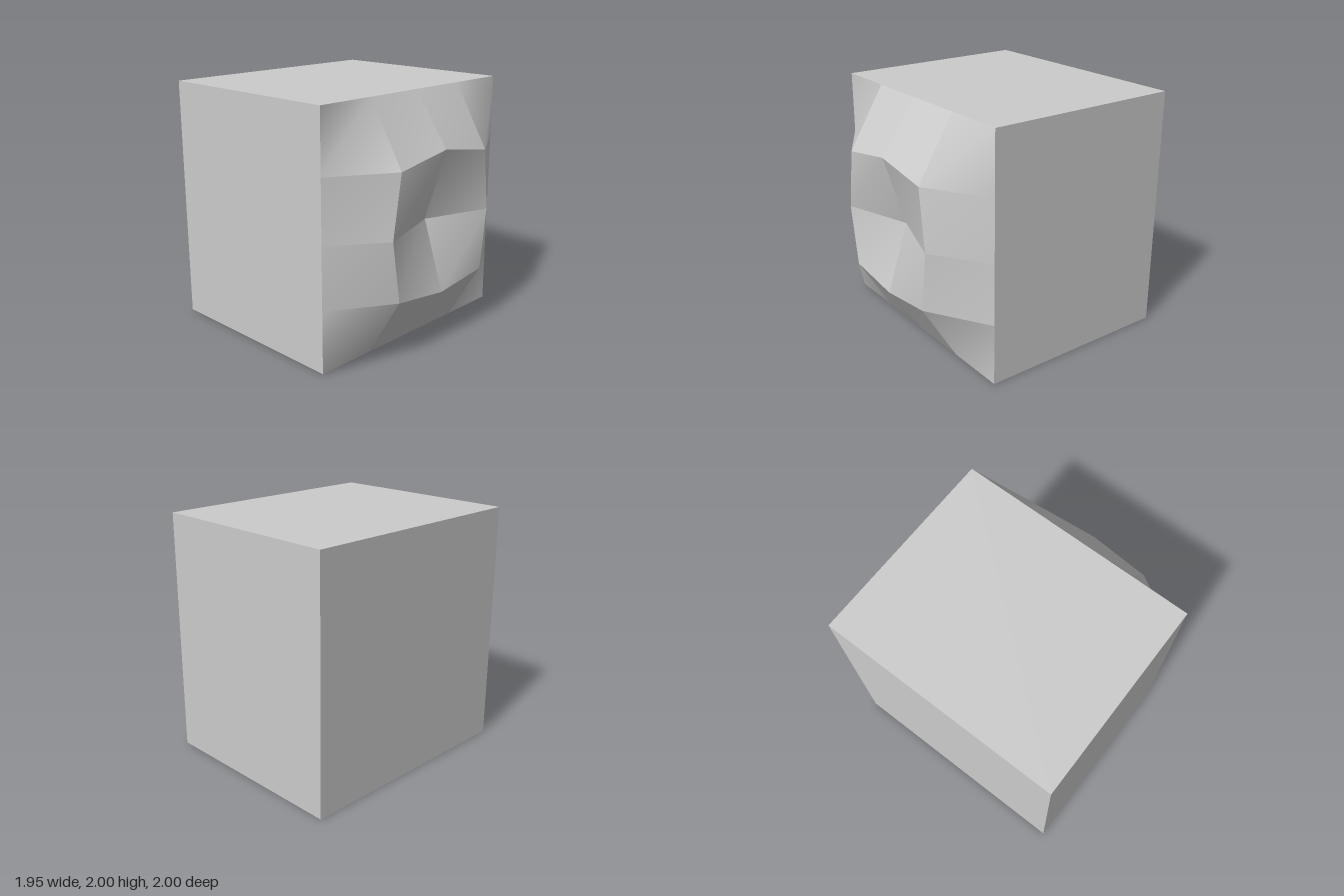
import * as THREE from 'three';

const BACK = -0.975, BASE = 0.675, RIM = 0.975, PIT = 0.79;

// Grid point on the carved side: i and j run from -2 to 2 (i towards the rear, j upwards)
function gridPoint(i, j) {
  let y = 1 + j * 0.5, z = -i * 0.5, x = RIM;
  if (Math.max(Math.abs(i), Math.abs(j)) === 2) x = BASE;
  else if (i === 0 && j === 0) x = PIT;
  else if (i === 0) y = j > 0 ? 1.58 : 0.44; // rim bulges outwards at its middles
  else if (j === 0) z = i > 0 ? -0.56 : 0.58;
  return [x, y, z];
}

// Raised rim with a shallow pit; each cell is smooth inside and sharp at its border
function craterGeometry() {
  const positions = [], index = [];
  for (let j = -2; j < 2; j++) {
    for (let i = -2; i < 2; i++) {
      const n = positions.length / 3;
      positions.push(...gridPoint(i, j), ...gridPoint(i + 1, j),
        ...gridPoint(i + 1, j + 1), ...gridPoint(i, j + 1));
      index.push(n, n + 1, n + 2, n, n + 2, n + 3);
    }
  }
  const geometry = new THREE.BufferGeometry();
  geometry.setAttribute('position', new THREE.Float32BufferAttribute(positions, 3));
  geometry.setIndex(index);
  geometry.computeVertexNormals();
  return geometry;
}

// Block left open on the +x side, where the crater closes it
function blockGeometry() {
  const geometry = new THREE.BoxGeometry(BASE - BACK, 2, 2);
  geometry.translate((BASE + BACK) / 2, 1, 0);
  geometry.setIndex(Array.from(geometry.index.array).slice(6));
  geometry.clearGroups();
  return geometry;
}

export function createModel() {
  const group = new THREE.Group();
  group.name = 'crateredBlock';
  const material = new THREE.MeshStandardMaterial({ color: 0xcccccc });
  const parts = { block: blockGeometry(), craterSide: craterGeometry() };
  for (const [name, geometry] of Object.entries(parts)) {
    const mesh = new THREE.Mesh(geometry, material);
    mesh.name = name;
    group.add(mesh);
  }
  return group;
}
